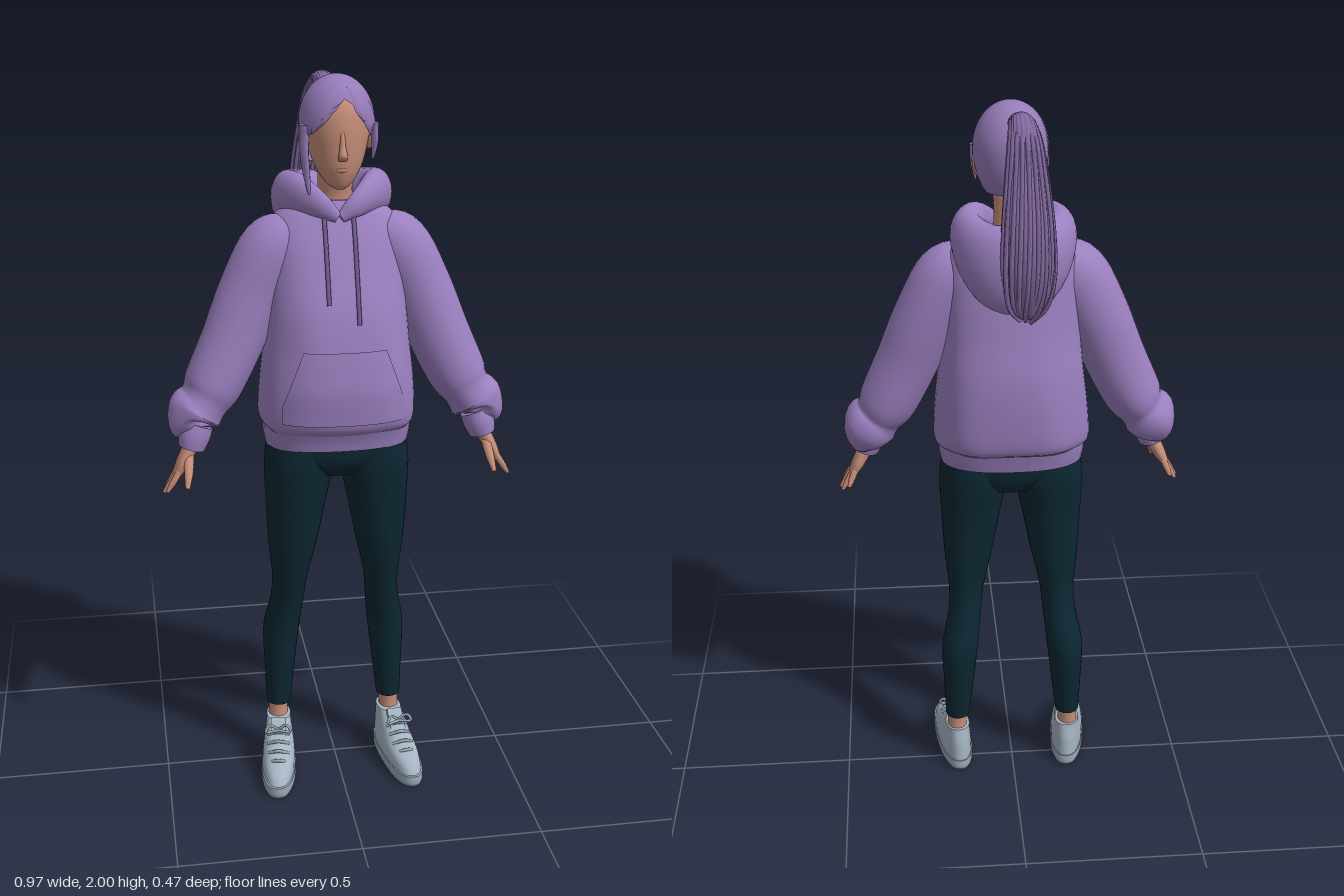
import * as THREE from 'three';

const V = (x, y, z) => new THREE.Vector3(x, y, z);
const mat = (name, color, side = THREE.FrontSide) => {
  const m = new THREE.MeshStandardMaterial({ color, side });
  m.name = name;
  return m;
};

// Smooth loft through sections [x, y, z, radiusU, radiusV]; axis fixes the ring normal, otherwise it follows the path
function loft(sections, { u = V(1, 0, 0), axis = null, seg = 28, steps = 5, n = 2, wave = null } = {}) {
  const path = new THREE.CatmullRomCurve3(sections.map(s => V(s[0], s[1], s[2])), false, 'catmullrom');
  const radii = new THREE.CatmullRomCurve3(sections.map(s => V(s[3], s[4], 0)), false, 'catmullrom');
  const rows = (sections.length - 1) * steps, pos = [], idx = [];
  for (let i = 0; i <= rows; i++) {
    const s = i / rows, c = path.getPoint(s), r = radii.getPoint(s);
    const t = axis || path.getTangent(s);
    const v = t.clone().cross(u).normalize(), w = v.clone().cross(t).normalize();
    for (let j = 0; j < seg; j++) {
      const a = j / seg * Math.PI * 2, k = wave ? wave(a, s) : 1;
      const p = q => Math.sign(q) * Math.abs(q) ** (2 / n) * k;
      const q = c.clone().addScaledVector(w, p(Math.cos(a)) * r.x).addScaledVector(v, p(Math.sin(a)) * r.y);
      pos.push(q.x, q.y, q.z);
    }
  }
  for (let i = 0; i < rows; i++) for (let j = 0; j < seg; j++) {
    const a = i * seg + j, b = i * seg + (j + 1) % seg;
    idx.push(a, b, a + seg, b, b + seg, a + seg);
  }
  // end caps with their own vertices
  for (const end of [0, 1]) {
    const base = pos.length / 3, c = path.getPoint(end), from = end * rows * seg * 3;
    for (let j = 0; j < seg * 3; j++) pos.push(pos[from + j]);
    pos.push(c.x, c.y, c.z);
    for (let j = 0; j < seg; j++) {
      const a = base + j, b = base + (j + 1) % seg;
      idx.push(base + seg, end ? a : b, end ? b : a);
    }
  }
  return finish(pos, idx);
}

function finish(pos, idx) {
  const g = new THREE.BufferGeometry();
  g.setAttribute('position', new THREE.Float32BufferAttribute(pos, 3));
  g.setIndex(idx);
  g.computeVertexNormals();
  return g;
}

// Open patch: fn(s, t) gives a point for s, t in 0..1
function patch(cols, rows, fn) {
  const pos = [], idx = [];
  for (let i = 0; i <= rows; i++) for (let j = 0; j <= cols; j++) pos.push(...fn(j / cols, i / rows).toArray());
  for (let i = 0; i < rows; i++) for (let j = 0; j < cols; j++) {
    const a = i * (cols + 1) + j, b = a + cols + 1;
    idx.push(a, b, a + 1, b, b + 1, a + 1);
  }
  return finish(pos, idx);
}

const tube = (pts, r, steps = 16) =>
  new THREE.TubeGeometry(new THREE.CatmullRomCurve3(pts.map(p => V(...p))), steps, r, 6);

const UP = V(0, 1, 0), SIDE = V(0, 0, 1);
const stack = rows => rows.map(([y, z, rx, rz, x = 0]) => [x, y, z, rx, rz]);

// Sweatshirt body: height, depth centre, half width, half depth
const BODY = [[1.07, .03, .198, .138], [1.1, .03, .213, .168], [1.2, .03, .207, .178], [1.3, .025, .195, .172],
  [1.4, .022, .186, .155], [1.5, .01, .182, .13], [1.58, 0, .18, .108], [1.64, -.01, .155, .088], [1.68, -.015, .09, .07]];

function bodyFront(x, y, lift) {
  let i = 0;
  while (i < BODY.length - 2 && y > BODY[i + 1][0]) i++;
  const k = (y - BODY[i][0]) / (BODY[i + 1][0] - BODY[i][0]);
  const [, cz, rx, rz] = BODY[i].map((a, c) => a + (BODY[i + 1][c] - a) * k);
  return V(x, y, cz + lift + rz * (1 - Math.min(1, Math.abs(x) / rx) ** 2.6) ** (1 / 2.6));
}

// Point on the skull: azimuth from the front, polar angle from the crown
function onHead(a, p, k = 1) {
  let s = Math.sin(p);
  if (p > Math.PI / 2) s = 1 - (1 - s) * .5;
  return V(Math.sin(a) * s * .098 * k, 1.88 + Math.cos(p) * .12 * Math.min(k, 1.01), .035 + Math.cos(a) * s * .105 * k);
}

export function createModel() {
  const root = new THREE.Group();
  root.name = 'woman';
  const skin = mat('skin', 0xc68e78), purple = mat('sweatshirtPurple', 0x9b80c0, THREE.DoubleSide);
  const hair = mat('hairPurple', 0x957bb8, THREE.DoubleSide), tailHair = mat('ponytailPurple', 0x82699f);
  const cord = mat('cordPurple', 0x735c94), legging = mat('leggingTeal', 0x0c2732);
  const shoeGrey = mat('shoeGrey', 0xa5b4c2), soleGrey = mat('soleGrey', 0x98a7b5);
  const add = (name, geo, m, parent = root) => {
    const mesh = new THREE.Mesh(geo, m);
    mesh.name = name;
    parent.add(mesh);
    return mesh;
  };

  // Sweatshirt body, hem and hood
  const folds = (a, s) => 1 + .014 * Math.sin(a * 7 + s * 5) * (1 - s);
  add('sweatshirtBody', loft(stack(BODY), { axis: UP, n: 2.6, seg: 56, wave: folds }), purple);
  add('hem', loft(stack([[1.02, .028, .197, .125], [1.05, .028, .202, .133], [1.085, .03, .204, .145]]),
    { axis: UP, n: 2.5, seg: 48 }), purple);
  const hoodHalf = [[.004, 1.64, .085, .014, .012], [.05, 1.672, .072, .034, .022], [.095, 1.69, .02, .055, .036],
    [.115, 1.68, -.05, .067, .048], [.075, 1.64, -.118, .1, .058]];
  const hoodRings = [...hoodHalf, [0, 1.615, -.138, .122, .055],
    ...hoodHalf.slice().reverse().map(([x, ...rest]) => [-x, ...rest])];
  add('hood', loft(hoodRings, { u: UP, seg: 24, steps: 6 }), purple);
  add('pocket', patch(16, 8, (s, t) => {
    const half = .165 - .055 * Math.max(0, (t - .25) / .75);
    return bodyFront((s * 2 - 1) * half, 1.11 + t * .2, .007);
  }), purple);
  for (const [x, low] of [[-.04, 1.43], [.037, 1.38]]) {
    const pts = [0, 1, 2, 3, 4].map(i => bodyFront(x, 1.64 + (low - 1.64) * i / 4, .009).toArray());
    add('drawstring', tube(pts, .006), cord);
  }

  // Hips join the two legs
  add('hips', loft(stack([[.93, .03, .1, .07], [.97, .035, .185, .095], [1.02, .035, .197, .105], [1.06, .03, .19, .11]]),
    { axis: UP, n: 2.3 }), legging);

  for (const s of [1, -1]) {
    const X = rows => rows.map(([x, ...rest]) => [x * s, ...rest]);
    const side = new THREE.Group();
    side.name = s > 0 ? 'leftLimbs' : 'rightLimbs';
    root.add(side);

    // Sleeve with gathered end, and cuff
    add('sleeve', loft(X([[.11, 1.6, 0, .065, .05], [.165, 1.555, .01, .085, .085], [.225, 1.44, .015, .085, .088],
      [.28, 1.31, .028, .083, .085], [.335, 1.195, .038, .085, .08], [.362, 1.15, .045, .076, .068],
      [.386, 1.12, .048, .085, .076], [.4, 1.09, .058, .074, .062], [.394, 1.07, .07, .045, .042]]),
      { u: SIDE, seg: 32, wave: (a, t) => 1 + .03 * t * t * Math.sin(a * 5 + t * 9) }), purple);
    add('cuff', loft(X([[.382, 1.09, .068, .046, .042], [.393, 1.06, .074, .046, .043], [.402, 1.028, .077, .042, .036]]),
      { u: SIDE, seg: 20 }), purple);

    // Hand
    const hand = new THREE.Group();
    hand.name = 'hand';
    side.add(hand);
    add('palm', loft(X([[.395, 1.05, .075, .026, .022], [.41, 1.02, .076, .03, .02], [.428, .985, .077, .038, .018],
      [.445, .955, .077, .034, .012]]), { u: SIDE, seg: 16 }), skin, hand);
    [[.05, .03, .455, .928], [.069, .058, .474, .908], [.087, .084, .48, .905], [.104, .11, .472, .915]]
      .forEach(([z0, z1, x, y]) => add('finger', loft(X([[.434, .975, z0, .009, .009],
        [(.44 + x) / 2, (.965 + y) / 2, (z0 + z1) / 2, .01, .009], [x, y, z1, .006, .005]]), { u: SIDE, seg: 8, steps: 4 }), skin, hand));
    add('thumb', loft(X([[.41, 1.01, .092, .014, .013], [.414, .975, .13, .012, .011], [.42, .94, .16, .006, .006]]),
      { u: V(1, 0, 0), seg: 8 }), skin, hand);

    // Leg and ankle
    const leg = rows => rows.map(([y, z, rx, rz, x]) => [x * s, y, z, rx, rz]);
    add('legging', loft(leg([[.18, -.02, .035, .039, .165], [.3, -.025, .044, .052, .16], [.42, -.025, .052, .062, .154],
      [.52, -.003, .048, .058, .139], [.6, .015, .05, .061, .132], [.72, .028, .069, .074, .124],
      [.85, .034, .085, .086, .114], [.95, .035, .096, .1, .106], [1.03, .035, .092, .1, .102]]), { axis: UP }), legging, side);
    add('ankle', loft(leg([[.09, -.018, .03, .034, .168], [.15, -.02, .028, .031, .167], [.2, -.02, .03, .034, .165]]),
      { axis: UP, seg: 18 }), skin, side);

    // Shoe turned slightly outward
    const shoe = new THREE.Group();
    shoe.name = 'shoe';
    shoe.position.set(.168 * s, 0, 0);
    shoe.rotation.y = s * .13;
    side.add(shoe);
    add('sole', loft(stack([[0, .08, .046, .153], [.012, .08, .051, .158], [.034, .08, .05, .157]]),
      { axis: UP, n: 2.4, seg: 32 }), soleGrey, shoe);
    add('upper', loft(stack([[.03, .079, .048, .153], [.06, .066, .047, .138], [.09, .03, .042, .1], [.118, .002, .037, .066],
      [.138, -.013, .035, .047]]), { axis: UP, n: 2.3, seg: 32 }), shoeGrey, shoe);
    const tongue = add('tongue', new THREE.BoxGeometry(.044, .07, .012), shoeGrey, shoe);
    tongue.position.set(0, .122, .062);
    tongue.rotation.x = -.75;
    for (const [y, z] of [[.078, .163], [.092, .135], [.106, .105], [.12, .077]])
      add('lace', tube([[-.03, y - .012, z - .012], [0, y + .003, z], [.03, y - .012, z - .012]], .005, 8), soleGrey, shoe);
    for (const d of [1, -1])
      add('bow', tube([[0, .135, .08], [d * .025, .152, .088], [d * .036, .135, .095], [0, .133, .084]], .0045), soleGrey, shoe);
  }

  // Neck, head and face
  add('neck', loft(stack([[1.6, -.005, .06, .055], [1.68, .005, .048, .046], [1.73, .015, .046, .046], [1.8, .025, .05, .05]]),
    { axis: UP }), skin);
  add('head', loft(stack([[1.717, .092, .012, .014], [1.73, .08, .032, .036], [1.755, .068, .051, .058], [1.785, .055, .066, .077],
    [1.825, .045, .078, .09], [1.87, .04, .086, .096], [1.92, .038, .085, .091], [1.96, .035, .064, .069], [1.985, .035, .03, .03]]),
    { axis: UP }), skin);
  add('nose', loft([[0, 1.795, .134, .012, .01], [0, 1.808, .143, .012, .012], [0, 1.83, .136, .008, .01],
    [0, 1.865, .131, .006, .006]], { axis: UP, seg: 12 }), skin);
  const mouth = add('mouth', new THREE.SphereGeometry(1, 14, 8), skin);
  mouth.position.set(0, 1.77, .122);
  mouth.scale.set(.02, .008, .01);
  for (const s of [1, -1]) {
    const ear = add('ear', new THREE.SphereGeometry(1, 12, 10), skin);
    ear.position.set(s * .089, 1.838, .035);
    ear.scale.set(.01, .03, .018);
    ear.rotation.z = -s * .15;
  }

  // Hair cap with a hairline that drops to the nape
  const hairline = a => .95 + .75 * Math.min(1, a / 1.3) + .95 * THREE.MathUtils.smoothstep(a, 1.65, 2.1);
  add('hairCap', patch(64, 24, (s, t) => {
    const a = (s * 2 - 1) * Math.PI;
    return onHead(a, t * hairline(Math.abs(a)), 1);
  }), hair);

  // Swept fringe locks: azimuth and polar angle at root and tip, half width
  const locks = [[.3, .5, -.55, 1.45, .26], [.3, .45, -.85, 1.75, .28], [.2, .45, -1.15, 1.9, .28],
    [.3, .5, .6, 1.5, .22], [.35, .45, .9, 1.8, .26], [.4, .45, 1.15, 1.85, .26], [.25, .55, -.25, 1.2, .2]];
  locks.forEach(([a0, p0, a1, p1, w], i) => add('fringeLock', patch(6, 14, (s, t) => {
    const q = s * 2 - 1, width = w * Math.min(1, 4 * (1 - t) + .04) * (.6 + .4 * t);
    const a = a0 + (a1 - a0) * t ** .8 + q * width;
    return onHead(a, p0 + (p1 - p0) * t, 1.005 + .004 * (i % 3) + .045 * (1 - q * q) * Math.min(1, t * 3));
  }), hair));
  add('sideLock', loft([[-.088, 1.88, .08, .014, .02], [-.09, 1.82, .078, .012, .017], [-.084, 1.76, .072, .01, .014],
    [-.076, 1.695, .075, .003, .004]], { seg: 10 }), hair);
  add('sideLock', loft([[.09, 1.88, .08, .012, .018], [.092, 1.83, .078, .009, .013], [.088, 1.79, .075, .003, .004]],
    { seg: 10 }), hair);

  // Ponytail: ridged core with loose strands around it
  const TAIL = [[-.012, 1.955, -.045, .022, .02], [-.018, 1.976, -.085, .026, .02], [-.022, 1.945, -.122, .036, .027],
    [-.026, 1.84, -.15, .05, .034], [-.028, 1.72, -.175, .062, .042], [-.028, 1.61, -.183, .064, .042],
    [-.026, 1.53, -.172, .048, .032], [-.025, 1.495, -.16, .018, .014]];
  add('ponytail', loft(TAIL, { seg: 72, steps: 6, wave: a => 1 + .06 * Math.cos(a * 18) }), tailHair);
  for (let i = 0; i < 18; i++) {
    const a = i / 18 * Math.PI * 2, drop = .012 * Math.sin(i * 2.7);
    const pts = TAIL.slice(1).map(([x, y, z, rx, rz], k) =>
      [x + Math.cos(a + k * .06) * rx * 1.02, y + drop * k / 6, z + Math.sin(a + k * .06) * rz * 1.02]);
    add('ponytailStrand', tube(pts, .006, 28), tailHair);
  }
  const tie = add('hairTie', new THREE.TorusGeometry(.024, .007, 8, 20), cord);
  tie.position.set(-.015, 1.967, -.066);
  tie.rotation.x = -.45;

  return root;
}
